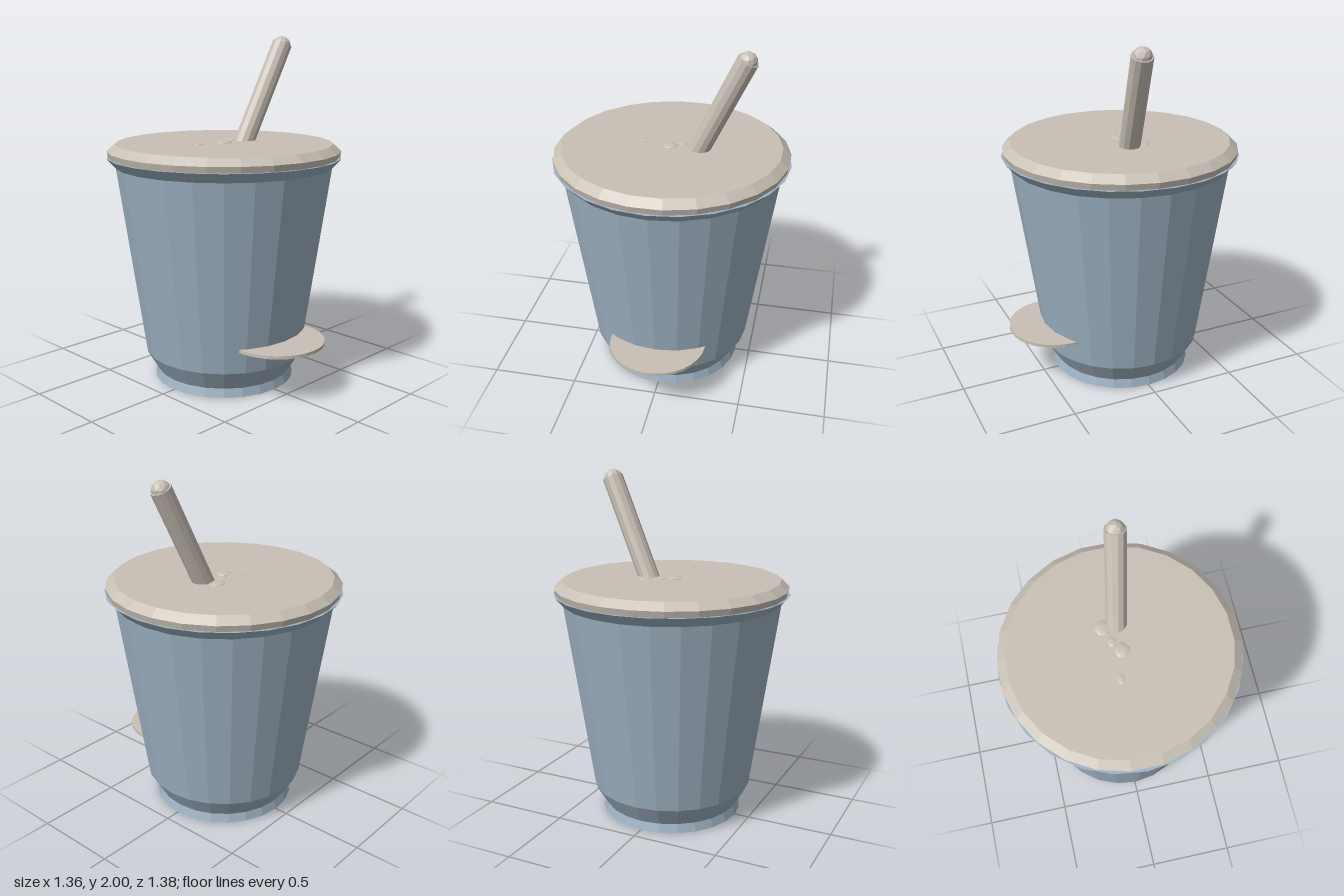
import * as THREE from 'three';

const SIDES = 24;
const CENTRE_Z = -0.007;

// Flat-shaded solid of revolution from [radius, height] pairs, listed upward
function lathe(name, profile, material, turn) {
  const points = profile.map(([r, y]) => new THREE.Vector2(r, y));
  const geometry = new THREE.LatheGeometry(points, SIDES, turn).toNonIndexed();
  geometry.computeVertexNormals();
  const mesh = new THREE.Mesh(geometry, material);
  mesh.name = name;
  mesh.position.z = CENTRE_Z;
  return mesh;
}

export function createModel() {
  const group = new THREE.Group();
  group.name = 'drinkCup';

  const cupBlue = new THREE.MeshStandardMaterial({ color: 0x9fb2c3, flatShading: true });
  cupBlue.name = 'cup blue';
  const lidBeige = new THREE.MeshStandardMaterial({ color: 0xc8c0b5, flatShading: true });
  lidBeige.name = 'lid beige';

  // Tapered cup with a narrow foot and a flared rim
  group.add(lathe('cup', [
    [0, 0], [0.414, 0], [0.4, 0.05], [0.468, 0.165], [0.63, 1.27], [0.679, 1.325], [0, 1.326],
  ], cupBlue, 0));

  // Lid with a bevelled edge
  group.add(lathe('lid', [
    [0, 1.325], [0.665, 1.325], [0.674, 1.36], [0.626, 1.4], [0, 1.4],
  ], lidBeige, Math.PI / SIDES));

  // Leaning straw with a rounded tip
  const foot = new THREE.Vector3(0.145, 1.37, 0.005);
  const tip = new THREE.Vector3(0.418, 1.955, 0.062);
  const axis = tip.clone().sub(foot);
  const straw = new THREE.Group();
  straw.name = 'straw';
  straw.position.copy(foot);
  straw.quaternion.setFromUnitVectors(new THREE.Vector3(0, 1, 0), axis.clone().normalize());
  const tube = new THREE.Mesh(new THREE.CylinderGeometry(0.06, 0.06, axis.length(), 12), lidBeige);
  tube.name = 'strawTube';
  tube.position.y = axis.length() / 2;
  const cap = new THREE.Mesh(new THREE.IcosahedronGeometry(0.054, 1), lidBeige);
  cap.name = 'strawTip';
  cap.position.y = axis.length() - 0.008;
  straw.add(tube, cap);
  group.add(straw);

  // Thin round plate set into the front of the cup
  const plate = new THREE.Mesh(new THREE.CylinderGeometry(0.28, 0.28, 0.018, 32), lidBeige);
  plate.name = 'frontPlate';
  plate.position.set(0, 0.305, 0.41);
  group.add(plate);

  // Small bumps just breaking the lid surface: x, z, radius, height
  [
    [-0.01, 0.003, 0.044, 0.009],
    [0.14, -0.075, 0.046, 0.008],
    [-0.17, -0.037, 0.03, 0.004],
    [0.05, -0.04, 0.032, 0.005],
  ].forEach(([x, z, radius, height], i) => {
    const bump = new THREE.Mesh(new THREE.IcosahedronGeometry(1, 1), lidBeige);
    bump.name = `lidBump${i + 1}`;
    bump.position.set(x, 1.4, z);
    bump.scale.set(radius, height, i < 2 ? radius : radius * 0.75);
    group.add(bump);
  });

  return group;
}
